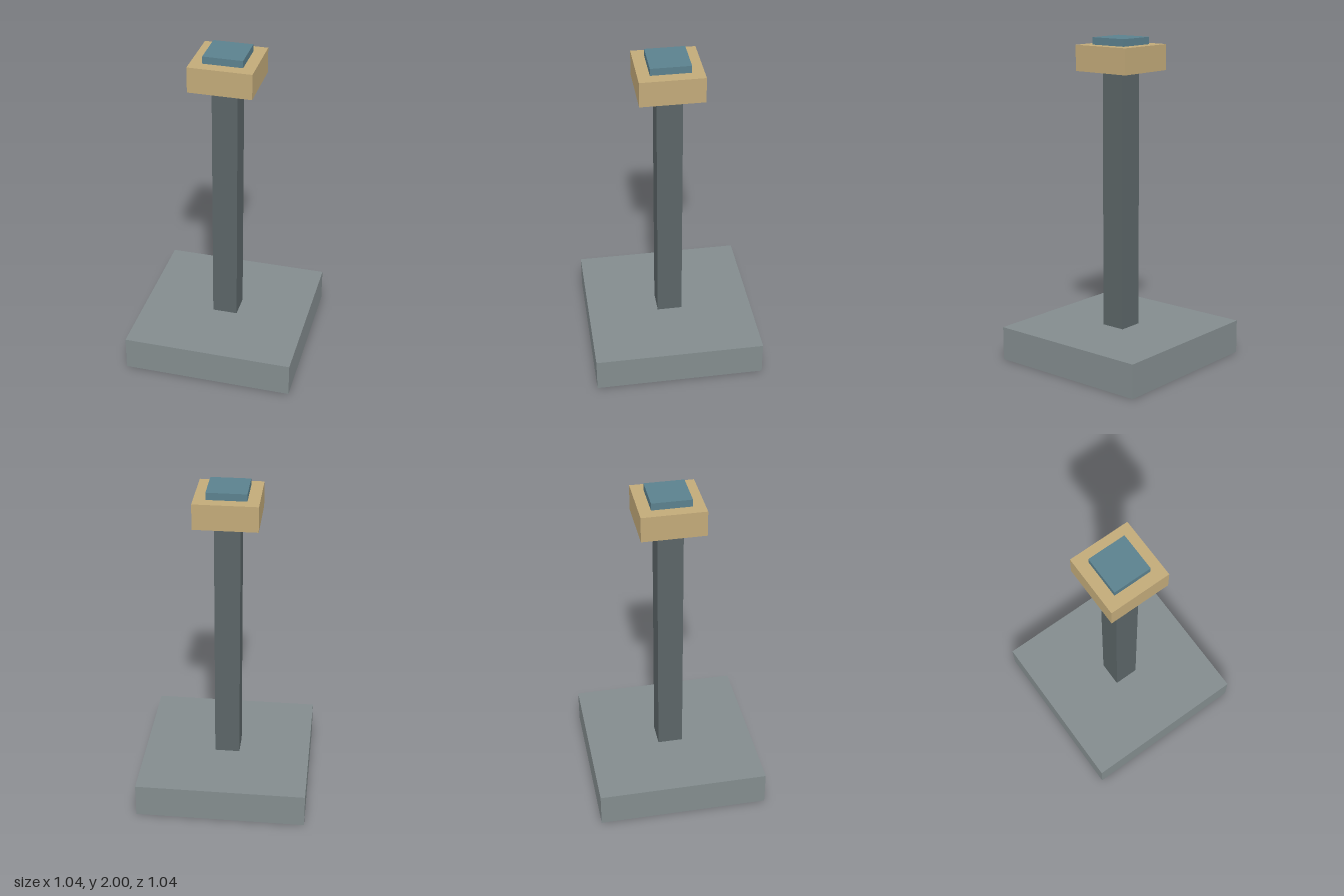
import * as THREE from 'three';

const material = (name, color) => {
  const m = new THREE.MeshStandardMaterial({ color });
  m.name = name;
  return m;
};

export function createModel() {
  const group = new THREE.Group();
  group.name = 'pedestalPost';

  // Square block centred on the axis, spanning bottom to top
  const block = (name, width, bottom, top, mat) => {
    const mesh = new THREE.Mesh(new THREE.BoxGeometry(width, top - bottom, width), mat);
    mesh.name = name;
    mesh.position.y = (bottom + top) / 2;
    group.add(mesh);
  };

  block('base', 1.042, 0, 0.209, material('stoneGrey', 0x838c8e));
  block('column', 0.155, 0.209, 1.8, material('darkGrey', 0x5b6567));
  block('head', 0.383, 1.8, 1.956, material('sand', 0xc2aa79));
  block('topPlate', 0.239, 1.956, 2, material('tealBlue', 0x5b818e));

  return group;
}
